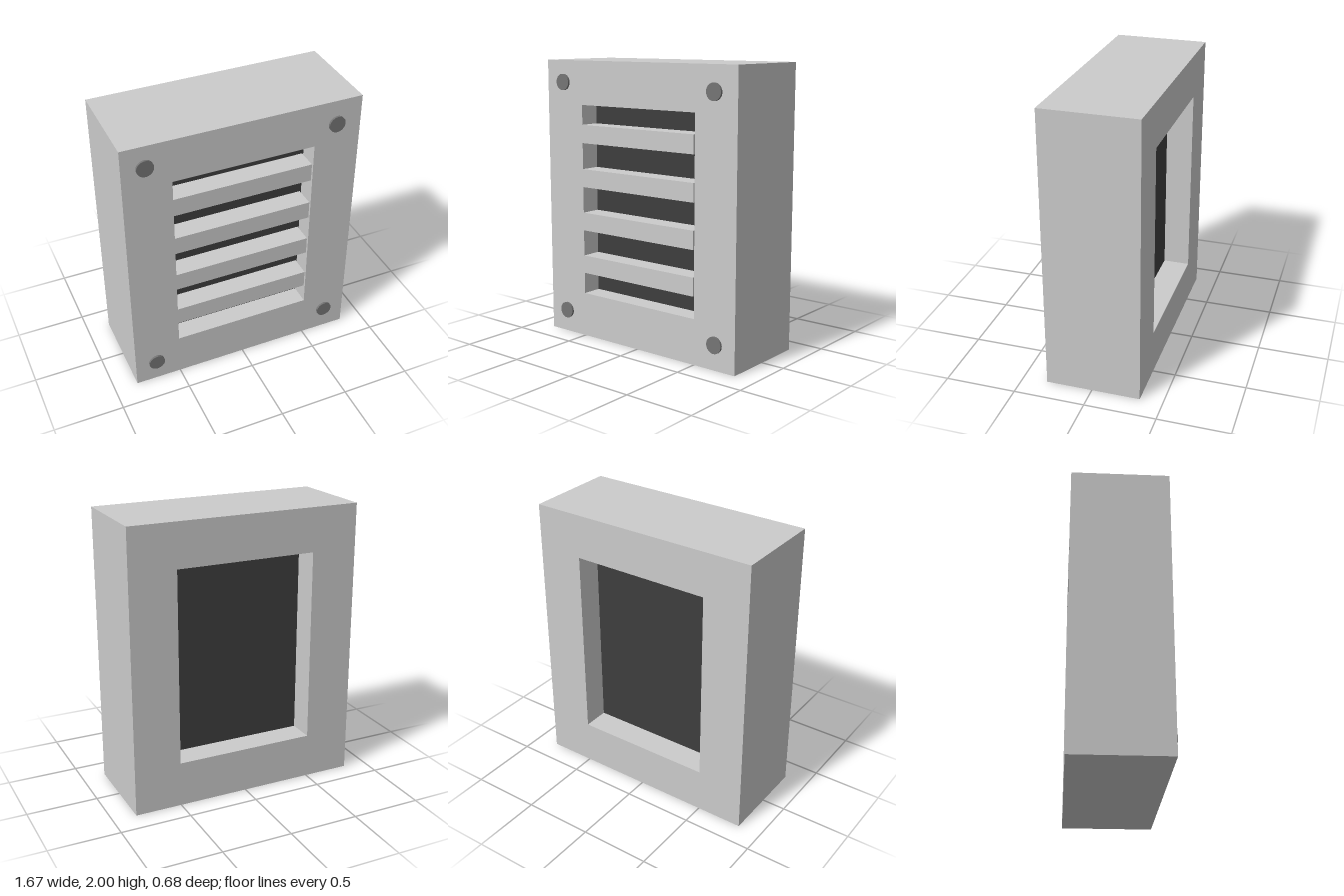
import * as THREE from 'three';

const BACK = -0.34, FRONT = 0.325;
const OPEN = { x: 0.5, y0: 0.32, y1: 1.69 };
const PANEL = { back: -0.15, front: 0.18 };

export function createModel() {
  const group = new THREE.Group();
  const grey = new THREE.MeshStandardMaterial({ color: 0xcccccc });
  const boltGrey = new THREE.MeshStandardMaterial({ color: 0x757575 });
  const dark = new THREE.MeshStandardMaterial({ color: 0x3e3e3e });

  const add = (name, geometry, material, x, y, z) => {
    const mesh = new THREE.Mesh(geometry, material);
    mesh.name = name;
    mesh.position.set(x, y, z);
    group.add(mesh);
    return mesh;
  };

  // Deep rectangular housing with an opening right through it
  const outline = new THREE.Shape();
  outline.moveTo(-0.833, 0).lineTo(0.833, 0).lineTo(0.833, 2).lineTo(-0.833, 2).closePath();
  const hole = new THREE.Path();
  hole.moveTo(-OPEN.x, OPEN.y0).lineTo(-OPEN.x, OPEN.y1)
    .lineTo(OPEN.x, OPEN.y1).lineTo(OPEN.x, OPEN.y0).closePath();
  outline.holes.push(hole);
  add('housing', new THREE.ExtrudeGeometry(outline, { depth: FRONT - BACK, bevelEnabled: false }),
    grey, 0, 0, BACK);

  // Dark panel closing the opening, recessed from both sides
  add('innerPanel',
    new THREE.BoxGeometry(2 * OPEN.x, OPEN.y1 - OPEN.y0, PANEL.front - PANEL.back),
    dark, 0, (OPEN.y0 + OPEN.y1) / 2, (PANEL.front + PANEL.back) / 2);

  // Four slats flush with the front, stopping just short of the left side
  const slatEnd = 0.49, slatDepth = FRONT - PANEL.front;
  for (let i = 0; i < 4; i++) {
    add('slat' + (i + 1), new THREE.BoxGeometry(OPEN.x + slatEnd, 0.13, slatDepth),
      grey, (slatEnd - OPEN.x) / 2, 0.537 + i * 0.316, FRONT - slatDepth / 2);
  }

  // Slightly uneven corner bolts
  const boltGeometry = new THREE.CylinderGeometry(0.058, 0.058, 0.03, 32).rotateX(Math.PI / 2);
  [[-0.677, 1.845], [0.655, 1.828], [-0.677, 0.162], [0.672, 0.177]].forEach(([x, y], i) =>
    add('bolt' + (i + 1), boltGeometry, boltGrey, x, y, FRONT));

  return group;
}
